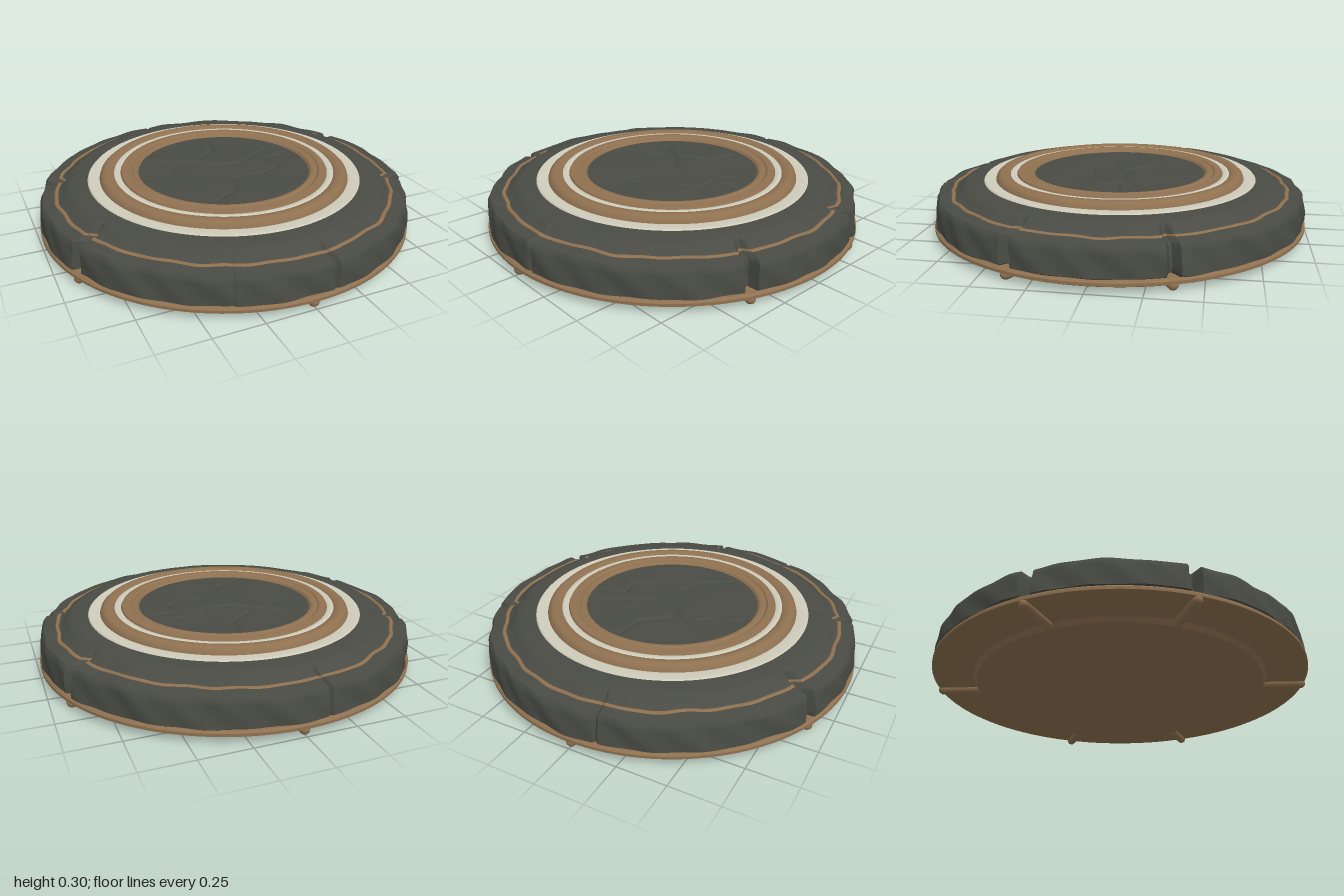
import * as THREE from 'three';
import { toCreasedNormals } from 'three/addons/utils/BufferGeometryUtils.js';

const stone = new THREE.MeshStandardMaterial({ name: 'dark stone', color: 0x494b44 });
const bronze = new THREE.MeshStandardMaterial({ name: 'bronze', color: 0x8f7150 });
const cream = new THREE.MeshStandardMaterial({ name: 'cream inlay', color: 0xd0cdbc });

// Angles run from the front (+z) towards +x
const SIDE = Math.atan2(0.91, 0.37);
const sideAngles = [SIDE, Math.PI - SIDE, SIDE - Math.PI, -SIDE];
const seams = [
  ...sideAngles.map(a => ({ a, width: 0.028, depth: 0.055 })),
  { a: 0.115, width: 0.012, depth: 0.014 },
  { a: -0.385, width: 0.01, depth: 0.008 },
  { a: Math.PI - 0.13 + 0.26, width: 0.012, depth: 0.014 },
];

const cracks = [
  [[-0.45, 0], [-0.36, -0.05], [-0.27, -0.07], [-0.22, -0.13]],
  [[-0.28, -0.22], [-0.13, -0.14], [-0.03, -0.05], [0.1, -0.03], [0.2, -0.08], [0.34, -0.16]],
  [[0.08, -0.42], [0.05, -0.27], [-0.08, -0.17]],
  [[-0.03, 0.15], [0.08, 0.13], [0.17, 0.15], [0.29, 0.08], [0.28, -0.03], [0.42, -0.06]],
  [[0.0, 0.15], [-0.06, 0.28], [-0.2, 0.36]],
];

function angleGap(a, b) {
  return Math.abs(Math.atan2(Math.sin(a - b), Math.cos(a - b)));
}

function segmentDistance(x, z, [ax, az], [bx, bz]) {
  const dx = bx - ax, dz = bz - az;
  const t = THREE.MathUtils.clamp(((x - ax) * dx + (z - az) * dz) / (dx * dx + dz * dz), 0, 1);
  return Math.hypot(x - ax - t * dx, z - az - t * dz);
}

// Weathered wall and shoulder: gentle lumps plus cuts at the seams
function weather(p) {
  const r = Math.hypot(p.x, p.z), a = Math.atan2(p.x, p.z);
  const reach = THREE.MathUtils.smoothstep(r, 0.78, 0.93);
  const lump = Math.sin(a * 11 + p.y * 20) + Math.sin(a * 17 + 1.7) + Math.sin(a * 29 + p.y * 35);
  let newR = r - reach * 0.003 * (lump + 1.5);
  let drop = reach * 0.002 * (Math.sin(a * 13) + Math.sin(a * 23 + 2));
  for (const s of seams) {
    const d = angleGap(a, s.a) / s.width;
    if (d < 1) {
      newR -= reach * s.depth * (1 - d * d);
      drop += reach * Math.min(s.depth, 0.015) * (1 - d * d);
    }
  }
  p.x *= newR / r;
  p.z *= newR / r;
  if (p.y > 0.1) p.y -= drop;
}

// Cracked and slightly uneven centre slab
function crack(p) {
  const fade = 1 - THREE.MathUtils.smoothstep(Math.hypot(p.x, p.z), 0.42, 0.455);
  let depth = 0.0015 * (Math.sin(p.x * 13 + p.z * 6) + Math.sin(p.z * 15 - p.x * 7));
  for (const line of cracks) {
    for (let i = 1; i < line.length; i++) {
      const d = segmentDistance(p.x, p.z, line[i - 1], line[i]);
      depth = Math.max(depth, 0.009 * (1 - d / 0.016));
    }
  }
  p.y -= depth * fade;
}

// Splits long profile steps so there is enough surface to shape
function densify(profile, step) {
  const out = [];
  profile.forEach(([r, y], i) => {
    if (i > 0) {
      const [r0, y0] = profile[i - 1];
      const n = Math.max(1, Math.ceil(Math.hypot(r - r0, y - y0) / step));
      for (let k = 1; k < n; k++) out.push([r0 + (r - r0) * k / n, y0 + (y - y0) * k / n]);
    }
    out.push([r, y]);
  });
  return out;
}

// One turned band of the disc, with an optional shaping rule
function band(name, material, profile, { warp = null, sides = 144, step = 1 } = {}) {
  const points = densify(profile, step).map(([r, y]) => new THREE.Vector2(r, y));
  let geometry = new THREE.LatheGeometry(points, sides);
  if (warp) {
    const pos = geometry.attributes.position, p = new THREE.Vector3();
    for (let i = 0; i < pos.count; i++) {
      warp(p.fromBufferAttribute(pos, i));
      pos.setXYZ(i, p.x, p.y, p.z);
    }
    geometry.computeVertexNormals();
  }
  geometry = toCreasedNormals(geometry, 0.6);
  const mesh = new THREE.Mesh(geometry, material);
  mesh.name = name;
  return mesh;
}

export function createModel() {
  const model = new THREE.Group();
  model.name = 'roundPlatform';
  const rough = { warp: weather, sides: 480, step: 0.03 };

  model.add(
    // Raised underside plate and bronze base rim
    band('undersidePlate', bronze, [[0, 0.005], [0.765, 0.005], [0.785, 0.03]]),
    band('baseRim', bronze, [[0.76, 0.028], [0.98, 0.028], [0.995, 0.036], [0.995, 0.05], [0.985, 0.06], [0.9, 0.062]]),
    // Stone wall, thin bronze line and stone shoulder
    band('outerWall', stone, [[0.975, 0.055], [0.992, 0.066], [0.988, 0.13], [0.98, 0.19], [0.968, 0.206], [0.908, 0.213]], rough),
    band('edgeLine', bronze, [[0.908, 0.213], [0.903, 0.219], [0.892, 0.219], [0.887, 0.214]], rough),
    band('shoulder', stone, [[0.887, 0.214], [0.87, 0.222], [0.835, 0.25], [0.81, 0.257], [0.73, 0.262]], rough),
    // Concentric inlays
    band('outerInlay', cream, [[0.73, 0.262], [0.725, 0.268], [0.685, 0.268], [0.665, 0.264]]),
    band('outerBronzeRing', bronze, [[0.668, 0.262], [0.662, 0.28], [0.645, 0.295], [0.63, 0.298], [0.605, 0.296], [0.59, 0.286]]),
    band('innerInlay', cream, [[0.592, 0.284], [0.585, 0.288], [0.562, 0.288], [0.555, 0.284]]),
    band('innerBronzeRing', bronze, [[0.557, 0.282], [0.55, 0.294], [0.515, 0.296], [0.505, 0.288], [0.495, 0.288], [0.485, 0.294], [0.47, 0.292], [0.458, 0.278]]),
    band('centreSlab', stone, [[0.46, 0.28], [0, 0.282]], { warp: crack, sides: 240, step: 0.008 }),
  );

  // Six bronze feet running from the underside plate to the rim
  const along = new THREE.CapsuleGeometry(0.026, 0.2, 4, 12);
  along.rotateX(Math.PI / 2);
  [0, Math.PI, ...sideAngles].forEach((a, i) => {
    const foot = new THREE.Group();
    foot.name = 'foot' + (i + 1);
    const bar = new THREE.Mesh(along, bronze);
    bar.name = 'footBar';
    bar.position.set(0, 0.026, 0.872);
    foot.add(bar);
    foot.rotation.y = a;
    model.add(foot);
  });
  return model;
}
